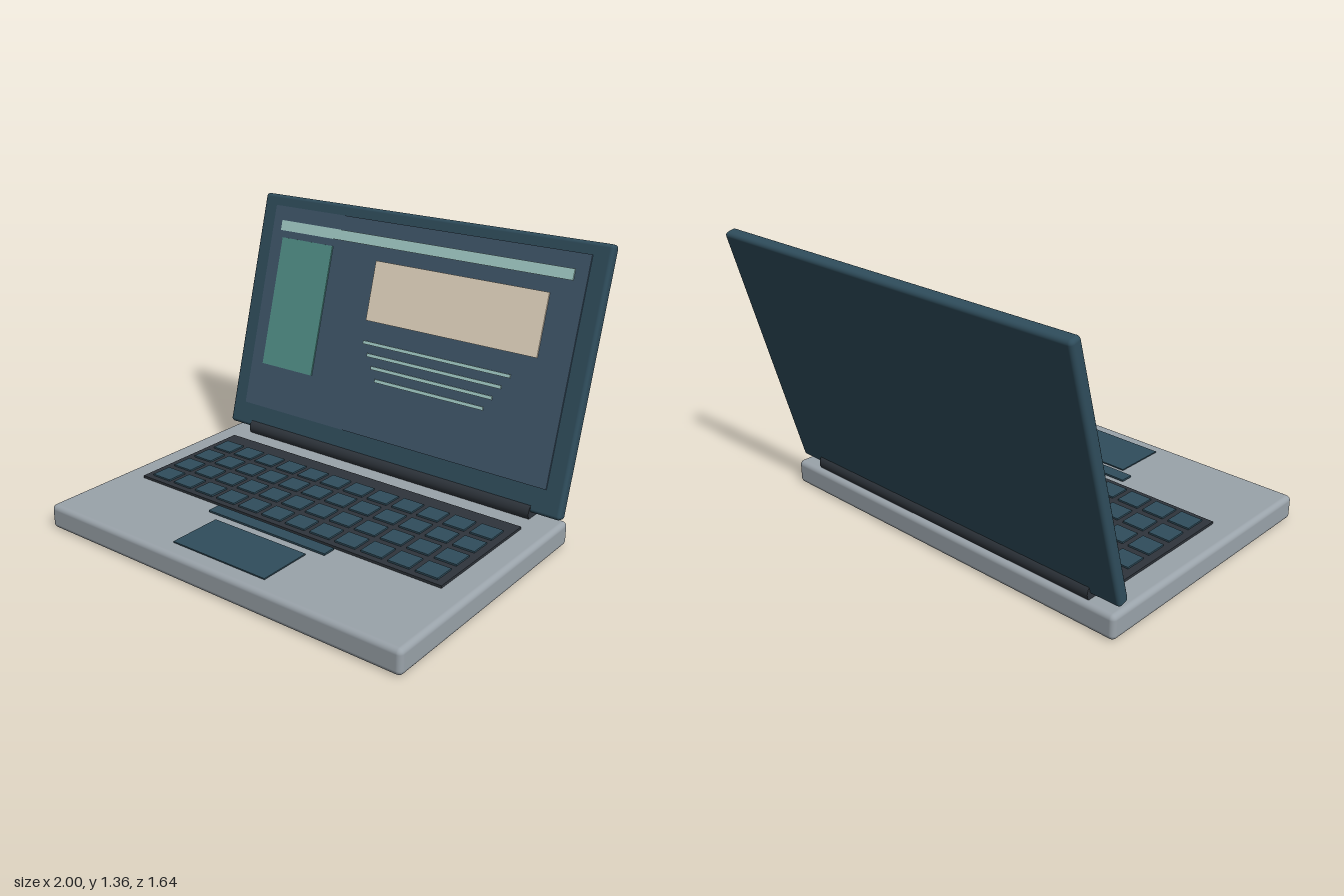
import * as THREE from 'three';
import { RoundedBoxGeometry } from 'three/addons/geometries/RoundedBoxGeometry.js';

const mat = (color) => new THREE.MeshStandardMaterial({ color });
const shell = mat(0x9aa3aa), teal = mat(0x2f4d5c), dark = mat(0x2e343b), screenBlue = mat(0x3f566a);
const green = mat(0x52918a), mint = mat(0xa5cfca), cream = mat(0xe8dac3);

function add(parent, name, geometry, material, x, y, z) {
  const mesh = new THREE.Mesh(geometry, material);
  mesh.name = name;
  mesh.position.set(x, y, z);
  parent.add(mesh);
  return mesh;
}
const box = (w, h, d) => new THREE.BoxGeometry(w, h, d);

export function createModel() {
  const laptop = new THREE.Group();
  laptop.name = 'laptop';

  // Base body
  add(laptop, 'base', new RoundedBoxGeometry(2, 0.12, 1.35, 3, 0.025), shell, 0, 0.06, 0.15);

  // Keyboard: tray, 12 x 4 keys and space bar
  const keyboard = new THREE.Group();
  keyboard.name = 'keyboard';
  laptop.add(keyboard);
  add(keyboard, 'keyTray', box(1.744, 0.014, 0.665), dark, -0.003, 0.125, 0.014);
  const keyShape = box(0.111, 0.012, 0.106);
  for (let row = 0; row < 4; row++) {
    for (let col = 0; col < 12; col++) {
      add(keyboard, 'key', keyShape, teal, -0.781 + col * 0.1415, 0.134, -0.172 + row * 0.145);
    }
  }
  add(keyboard, 'spaceBar', box(0.68, 0.009, 0.066), teal, -0.004, 0.1355, 0.406);

  // Touch pad
  add(laptop, 'touchPad', box(0.528, 0.006, 0.27), teal, -0.003, 0.128, 0.61);

  // Hinge barrel
  const hinge = add(laptop, 'hinge', new THREE.CylinderGeometry(0.046, 0.046, 1.7, 24), dark, 0, 0.148, -0.462);
  hinge.rotation.z = Math.PI / 2;

  // Lid, leaning back; its parts are laid out in the lid's own plane
  const lid = new THREE.Group();
  lid.name = 'lid';
  lid.position.set(0, 0.7515, -0.624);
  lid.rotation.x = -0.27;
  laptop.add(lid);
  add(lid, 'lidShell', new RoundedBoxGeometry(2, 1.256, 0.06, 3, 0.018), teal, 0, 0, 0);
  add(lid, 'screen', box(1.82, 1.074, 0.012), screenBlue, 0, 0.033, 0.031);

  // Flat panels on the screen, given by left, right, bottom and top height
  const panel = (name, x0, x1, y0, y1, material) => {
    const toLid = (y) => (y - 0.7625) / Math.cos(0.27);
    const a = toLid(y0), b = toLid(y1);
    add(lid, name, box(x1 - x0, b - a, 0.008), material, (x0 + x1) / 2, (a + b) / 2, 0.04);
  };
  panel('headerBar', -0.85, 0.845, 1.19, 1.241, mint);
  panel('sidePanel', -0.83, -0.497, 0.5, 1.155, green);
  panel('contentPanel', -0.215, 0.745, 0.832, 1.123, cream);
  for (let i = 0; i < 4; i++) {
    const half = 0.42 - i * 0.036, y = 0.726 - i * 0.057;
    panel('contentLine', 0.21 - half, 0.21 + half, y - 0.008, y + 0.008, mint);
  }
  return laptop;
}
